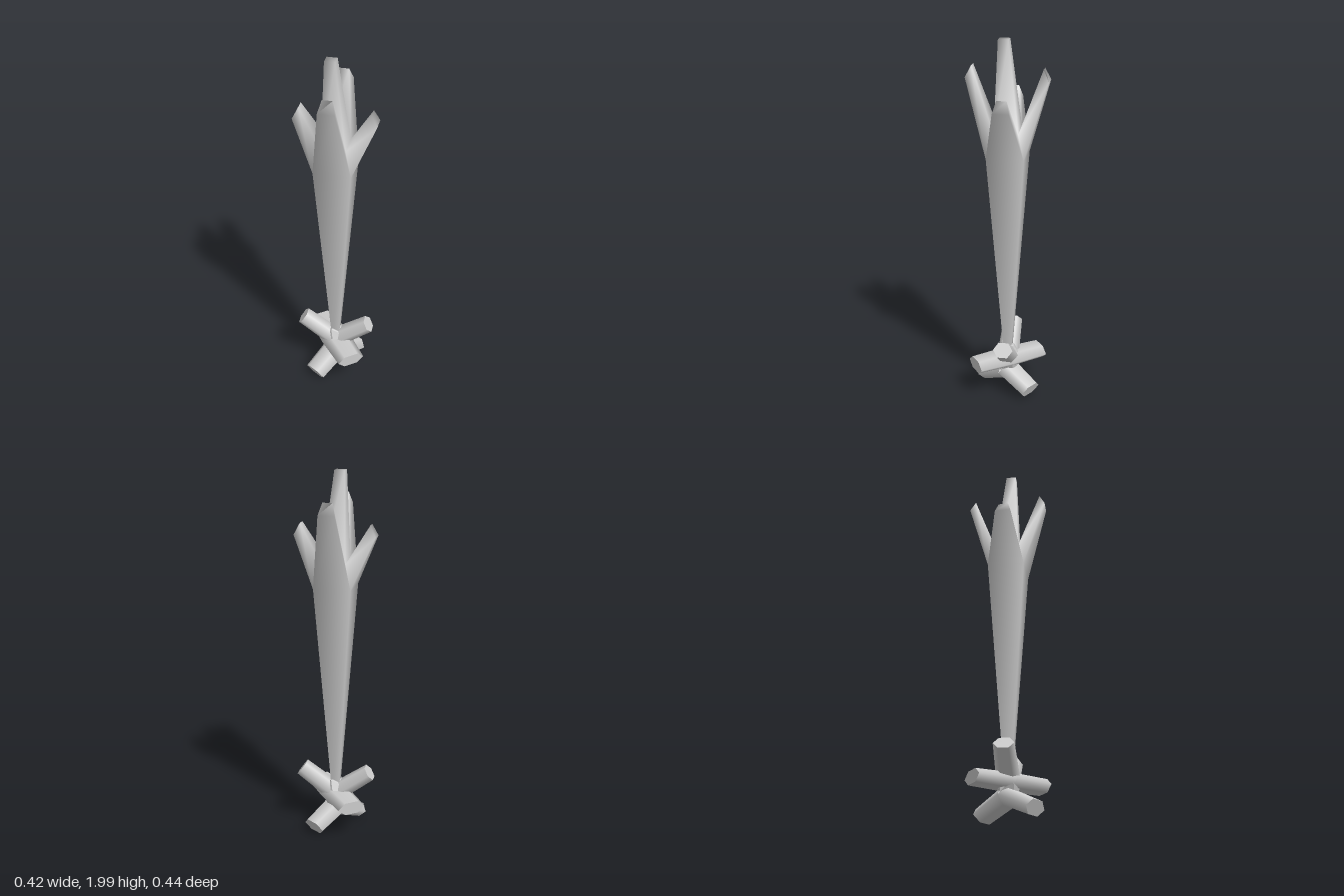
import * as THREE from 'three';
import { mergeVertices } from 'three/addons/utils/BufferGeometryUtils.js';

const material = new THREE.MeshStandardMaterial({ color: 0xcccccc });
const TURN = Math.PI / 6; // azimuth of the first trunk face

// Point from radial and sideways distance in the frame of trunk face i
function facePoint(i, radial, side, y) {
  const a = TURN + (i * Math.PI) / 2;
  return new THREE.Vector3(
    radial * Math.sin(a) + side * Math.cos(a), y,
    radial * Math.cos(a) - side * Math.sin(a));
}

// Smooth mesh from a list of four-cornered faces
function quadMesh(name, quads) {
  const pos = [];
  for (const [a, b, c, d] of quads) for (const p of [a, b, c, a, c, d]) pos.push(p.x, p.y, p.z);
  let geo = new THREE.BufferGeometry();
  geo.setAttribute('position', new THREE.Float32BufferAttribute(pos, 3));
  geo = mergeVertices(geo, 1e-4);
  geo.computeVertexNormals();
  const mesh = new THREE.Mesh(geo, material);
  mesh.name = name;
  return mesh;
}

// Square trunk splitting into four prongs around a central spire
function trunkQuads() {
  const quads = [];
  const tips = [1.73, 1.86, 1.73, 1.87];
  const lean = new THREE.Vector3(-0.03, 0, -0.005);
  for (let i = 0; i < 4; i++) {
    const pair = (r, s, y) => [facePoint(i, r, -s, y), facePoint(i, r, s, y)];
    const [f0, f1] = pair(0.018, 0.018, 0.2);
    const [c0, c1] = pair(0.099, 0.099, 1.4);
    const [d0, d1] = pair(0.064, 0.064, 1.53);
    const [o0, o1] = pair(0.215, 0.043, tips[i] - 0.06);
    const [n0, n1] = pair(0.185, 0.026, tips[i]);
    const [t0, t1] = pair(0.027, 0.027, 2).map((p) => p.add(lean));
    quads.push(
      [f0, f1, c1, c0],   // trunk face
      [c0, c1, o1, o0],   // prong outside
      [d1, d0, n0, n1],   // prong inside
      [d0, c0, o0, n0],   // prong flanks
      [c1, d1, n1, o1],
      [o0, o1, n1, n0],   // prong tip
      [d0, d1, t1, t0]);  // spire face
    if (i === 0) {
      const top = [0, 1, 2, 3].map((k) => facePoint(k, 0.027, -0.027, 2).add(lean));
      quads.push(top);
    }
  }
  return quads;
}

// Stubby six-sided arm from one point to another, wide and flat in section
function arm(name, from, to, width, height) {
  const a = new THREE.Vector3(...from), b = new THREE.Vector3(...to);
  const geo = new THREE.CylinderGeometry(0.94, 1.06, a.distanceTo(b), 6, 1);
  geo.rotateY(Math.PI / 6);
  geo.scale(width / 1.74, 1, height / 2);
  const along = b.clone().sub(a).normalize();
  const side = new THREE.Vector3().crossVectors(along, new THREE.Vector3(0, 1, 0)).normalize();
  const up = new THREE.Vector3().crossVectors(side, along);
  geo.applyMatrix4(new THREE.Matrix4().makeBasis(side, along, up));
  const mid = a.add(b).multiplyScalar(0.5);
  geo.translate(mid.x, mid.y, mid.z);
  const mesh = new THREE.Mesh(geo, material);
  mesh.name = name;
  return mesh;
}

export function createModel() {
  const group = new THREE.Group();
  group.add(quadMesh('trunkWithProngs', trunkQuads()));

  // Root cluster: a core with pairs of opposite arms
  const core = new THREE.Mesh(mergeVertices(new THREE.IcosahedronGeometry(1, 0).deleteAttribute('uv')), material);
  core.geometry.scale(0.075, 0.11, 0.075);
  core.position.y = 0.2;
  core.name = 'rootCore';
  group.add(core);

  for (const s of [1, -1]) {
    const end = s > 0 ? 'Front' : 'Back';
    group.add(arm('upperArm' + end, [s * 0.01, 0.22, s * 0.015], [s * 0.1, 0.345, s * 0.163], 0.1, 0.1));
    group.add(arm('levelArm' + end, [0, 0.2, 0], [s * -0.078, 0.2, s * 0.19], 0.145, 0.085));
    group.add(arm(s > 0 ? 'lowerLegLeft' : 'lowerLegRight',
      [0, 0.125, 0], [s * 0.172, s > 0 ? 0.052 : 0.043, s * 0.008], 0.13, 0.095));
  }
  return group;
}
